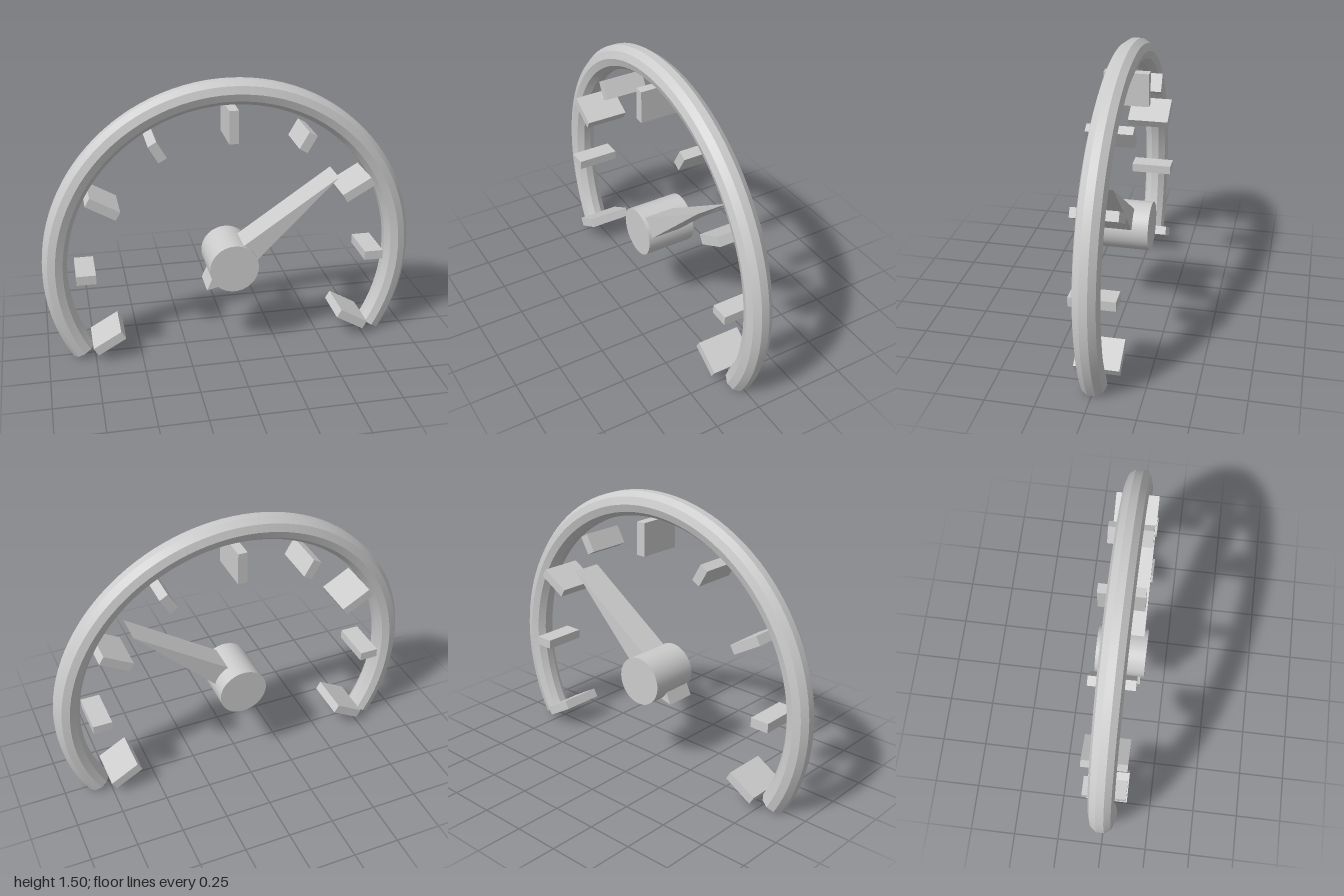
import * as THREE from 'three';
import { toCreasedNormals } from 'three/addons/utils/BufferGeometryUtils.js';

const CENTER_Y = 0.5;
const RING_R = 0.935, TUBE_R = 0.068, SIDES = 10;
const rad = THREE.MathUtils.degToRad;

export function createModel() {
  const material = new THREE.MeshStandardMaterial({ color: 0xcccccc });
  const gauge = new THREE.Group();
  gauge.name = 'gauge';
  gauge.position.y = CENTER_Y;

  const add = (name, geometry, parent = gauge) => {
    const mesh = new THREE.Mesh(geometry, material);
    mesh.name = name;
    parent.add(mesh);
    return mesh;
  };

  // Rim: ten-sided tube swept through 240 degrees, open at the bottom
  const profile = [];
  for (let i = 0; i <= SIDES; i++) {
    const a = -Math.PI / 2 + (i / SIDES) * Math.PI * 2;
    profile.push(new THREE.Vector2(RING_R + TUBE_R * Math.cos(a), TUBE_R * Math.sin(a)));
  }
  const rim = new THREE.LatheGeometry(profile, 72, rad(60), rad(240));
  rim.rotateX(Math.PI / 2);
  add('rim', toCreasedNormals(rim, rad(25)));

  // Flat caps closing both ends of the rim
  for (const side of [-1, 1]) {
    const cap = new THREE.CircleGeometry(TUBE_R, SIDES, Math.PI / 2);
    cap.rotateY(side * Math.PI / 2);
    cap.rotateX(Math.PI / 2);
    const holder = new THREE.Group();
    holder.name = side > 0 ? 'leftRimEnd' : 'rightRimEnd';
    holder.rotation.z = rad(side > 0 ? -30 : 210);
    // The cap lies across the tube, facing into the gap
    const disc = new THREE.CircleGeometry(TUBE_R, SIDES, Math.PI / 2);
    disc.rotateX(side * Math.PI / 2);
    disc.translate(RING_R, 0, 0);
    add('rimCap', disc, holder);
    gauge.add(holder);
  }

  // Scale marks every 30 degrees, alternating long and short
  for (let i = 0; i <= 8; i++) {
    const major = i % 2 === 0;
    const [inner, outer] = major ? [0.692, 0.867] : [0.727, 0.829];
    const mark = new THREE.BoxGeometry(outer - inner, 0.05, 0.234);
    mark.translate((inner + outer) / 2, 0, 0);
    add(major ? 'majorMark' : 'minorMark', mark).rotation.z = rad(-30 + i * 30);
  }

  // Hub
  const hub = new THREE.CylinderGeometry(0.132, 0.132, 0.274, 48);
  hub.rotateX(Math.PI / 2);
  add('hub', hub);

  // Needle: long kite-shaped plate with a short pointed tail
  const outline = new THREE.Shape([
    new THREE.Vector2(0.732, 0),
    new THREE.Vector2(-0.04, 0.073),
    new THREE.Vector2(-0.19, 0),
    new THREE.Vector2(-0.04, -0.073),
  ]);
  const needle = new THREE.ExtrudeGeometry(outline, { depth: 0.167, bevelEnabled: false });
  needle.translate(0, 0, -0.05);
  add('needle', needle).rotation.z = rad(40);

  const model = new THREE.Group();
  model.name = 'dialGauge';
  model.add(gauge);
  return model;
}
